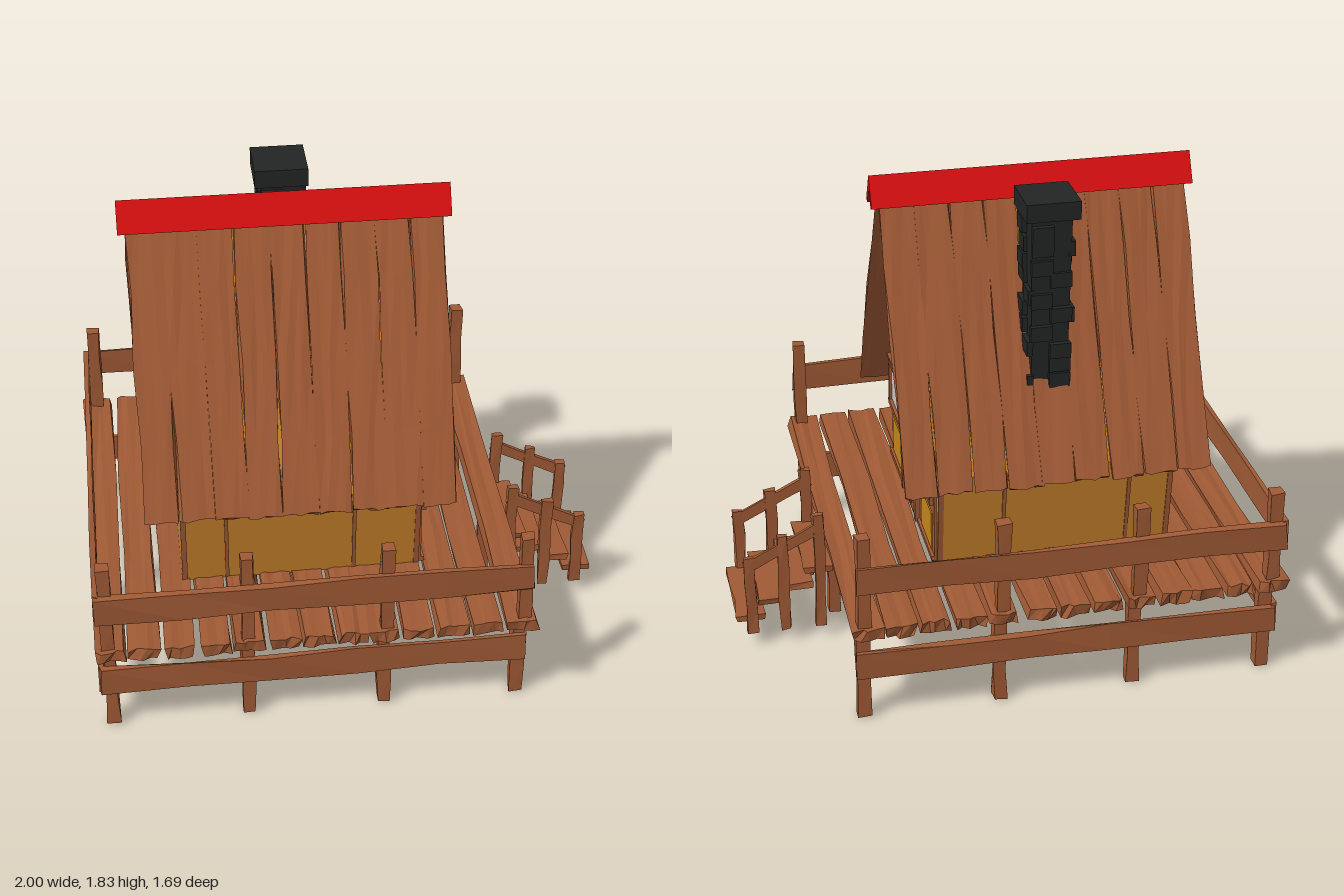
import * as THREE from 'three';

const mat = (name, color, side = THREE.FrontSide) => {
  const m = new THREE.MeshStandardMaterial({ color, side, flatShading: true });
  m.name = name;
  return m;
};
const V = (x, y, z) => new THREE.Vector3(x, y, z);

// Small repeatable noise in -0.5..0.5
function noise(seed) {
  const s = Math.sin(seed * 127.1 + 11.7) * 43758.5453;
  return s - Math.floor(s) - 0.5;
}

// Nudges the corners of a geometry so that boards look hand cut
function rough(geo, seed, ax, ay, az) {
  const p = geo.attributes.position;
  for (let i = 0; i < p.count; i++) {
    const x = p.getX(i), y = p.getY(i), z = p.getZ(i);
    const key = seed + x * 31.3 + y * 17.9 + z * 57.1;
    p.setXYZ(i, x + ax * noise(key), y + ay * noise(key + 3.1), z + az * noise(key + 7.7));
  }
  const flat = geo.toNonIndexed();
  flat.computeVertexNormals();
  return flat;
}

export function createModel() {
  const wood = mat('brown wood', 0xa05a35);
  const wall = mat('ochre wall', 0xc9822b);
  const panel = mat('yellow panel', 0xc8861c);
  const glass = mat('pale glass', 0xcacaca);
  const red = mat('red ridge', 0xd80f10);
  const stone = mat('charcoal stone', 0x232424);

  const root = new THREE.Group();
  root.name = 'cabin';
  const group = (name, parent = root) => {
    const g = new THREE.Group();
    g.name = name;
    parent.add(g);
    return g;
  };
  const add = (parent, name, geo, material) => {
    const m = new THREE.Mesh(geo, material);
    m.name = name;
    parent.add(m);
    return m;
  };
  const box = (parent, name, m, w, h, d, x, y, z) => {
    const b = add(parent, name, new THREE.BoxGeometry(w, h, d), m);
    b.position.set(x, y, z);
    return b;
  };
  let seed = 1;
  // Board from a to b: w wide, t thick along the given normal
  const board = (parent, name, a, b, w, t, normal, jag = 0.008, segs = [1, 3]) => {
    const len = a.distanceTo(b);
    const geo = rough(new THREE.BoxGeometry(w, len, t, segs[0], segs[1], 1), seed++ * 1.37, jag, jag, jag * 0.4);
    const Y = b.clone().sub(a).normalize();
    const X = Y.clone().cross(normal).normalize();
    const Z = X.clone().cross(Y);
    const m = add(parent, name, geo, wood);
    m.quaternion.setFromRotationMatrix(new THREE.Matrix4().makeBasis(X, Y, Z));
    m.position.copy(a).add(b).multiplyScalar(0.5);
    return m;
  };
  const AX = V(1, 0, 0), AY = V(0, 1, 0), AZ = V(0, 0, 1);

  // Deck boards
  const deck = group('deck');
  for (let i = 0; i < 13; i++) {
    const x = -0.937 + i * 0.1265, s = noise(i + 40) * 0.02;
    board(deck, 'deckBoard', V(x + s, 0.405, -0.84), V(x - s, 0.405, 0.83), 0.108, 0.045, AY, 0.022, [4, 3]);
  }

  // Posts below and above the deck
  const posts = group('posts');
  for (const x of [-0.94, -0.43, 0.08, 0.59]) {
    for (const z of [-0.74, -0.02, 0.71])
      board(posts, 'deckLeg', V(x, 0, z), V(x, 0.39, z), 0.048, 0.048, AZ, 0.01);
    for (const z of [-0.8, 0.79])
      board(posts, 'railPost', V(x, 0.385, z), V(x, 0.79, z), 0.048, 0.048, AZ);
  }
  for (const x of [-0.94, 0.59]) for (const s of [-1, 1])
    board(posts, 'brace', V(x, 0.25, s * 0.71), V(x, 0.385, s * 0.54), 0.03, 0.025, AX, 0.003);

  // Rails on the front, the back and the far end
  const rails = group('rails');
  for (const [y, zf, zb] of [[0.62, 0.82, -0.83], [0.225, 0.742, -0.772]]) {
    for (const z of [zf, zb])
      board(rails, 'longRail', V(-0.98, y - 0.005, z), V(0.615, y + 0.005, z), 0.11, 0.02, AZ, 0.016, [1, 5]);
    board(rails, 'endRail', V(-0.975, y, zb), V(-0.975, y, zf), 0.115, 0.02, AX, 0.012, [1, 5]);
  }

  // Stairs
  const stairs = group('stairs');
  [[0.67, 0.3], [0.75, 0.235], [0.85, 0.18], [0.938, 0.12]].forEach(([x, y]) =>
    board(stairs, 'tread', V(x, y, -0.2), V(x, y, 0.16), 0.11, 0.025, AY, 0.012));
  for (const z of [-0.2, 0.16]) {
    for (const [x, top] of [[0.665, 0.545], [0.805, 0.47], [0.935, 0.39]])
      board(stairs, 'stairPost', V(x, 0.055, z), V(x, top, z), 0.042, 0.024, AZ, 0.01);
    board(stairs, 'handrail', V(0.65, 0.495, z), V(0.95, 0.345, z), 0.045, 0.016, AZ, 0.006);
  }

  // House body: five-sided section swept along x
  const house = group('house');
  const section = new THREE.Shape([[-0.435, 0.42], [0.435, 0.42], [0.48, 0.8], [0, 1.755], [-0.48, 0.8]]
    .map(([x, y]) => new THREE.Vector2(x, y)));
  const bodyGeo = new THREE.ExtrudeGeometry(section, { depth: 0.9, bevelEnabled: false });
  bodyGeo.rotateY(Math.PI / 2).translate(-0.65, 0, 0);
  add(house, 'walls', bodyGeo, wall);
  for (const s of [-1, 1]) {
    for (const x of [-0.48, 0])
      board(house, 'wallSeam', V(x, 0.42, s * 0.435), V(x, 0.79, s * 0.48), 0.014, 0.008, V(0, 0, s), 0);
    for (const x of [-0.64, 0.24])
      board(house, 'cornerPost', V(x, 0.42, s * 0.433), V(x, 0.8, s * 0.478), 0.02, 0.012, V(0, 0, s), 0);
  }

  // Parts shared by both gables; local +z points out of the wall
  const ring = new THREE.Shape().absarc(0, 0, 0.17, 0, Math.PI * 2);
  ring.holes.push(new THREE.Path().absarc(0, 0, 0.118, 0, Math.PI * 2, true));
  const ringGeo = new THREE.ExtrudeGeometry(ring, { depth: 0.035, bevelEnabled: false, curveSegments: 10 });
  const gable = (name, x, turn) => {
    const g = group(name, house);
    g.position.x = x;
    g.rotation.y = turn;
    add(g, 'roundWindowFrame', ringGeo, wood).position.y = 1.215;
    add(g, 'roundWindowGlass', new THREE.CircleGeometry(0.125, 20), glass).position.set(0, 1.215, 0.01);
    board(g, 'gableBeam', V(0, 1.37, 0.015), V(0, 1.75, 0.015), 0.03, 0.04, AZ, 0.002);
    for (const s of [-1, 1])
      board(g, 'slantBeam', V(s * 0.105, 1.32, 0.025), V(s * 0.2, 1.385, 0.025), 0.038, 0.06, AZ, 0.003);
    return g;
  };

  // Entrance gable
  const front = gable('entranceGable', 0.25, Math.PI / 2);
  box(front, 'frameBacking', wood, 0.87, 0.45, 0.01, 0, 0.655, 0.005);
  box(front, 'crossBeam', wood, 0.88, 0.014, 0.03, 0, 0.876, 0.012);
  box(front, 'sill', wood, 0.87, 0.018, 0.022, 0, 0.44, 0.011);
  for (const s of [-1, 1]) {
    box(front, 'windowGlass', glass, 0.226, 0.16, 0.006, s * 0.293, 0.77, 0.012);
    box(front, 'lowerPanel', panel, 0.2, 0.158, 0.006, s * 0.3, 0.538, 0.012);
    box(front, 'windowSill', wood, 0.27, 0.02, 0.03, s * 0.293, 0.676, 0.012);
    box(front, 'windowHead', wood, 0.27, 0.014, 0.026, s * 0.293, 0.857, 0.012);
    for (const x of [0.172, 0.418])
      box(front, 'windowJamb', wood, 0.018, 0.2, 0.026, s * x, 0.765, 0.012);
    box(front, 'doorJamb', wood, 0.03, 0.44, 0.03, s * 0.133, 0.655, 0.014);
  }
  box(front, 'doorLintel', wood, 0.29, 0.025, 0.03, 0, 0.862, 0.014);
  box(front, 'door', wood, 0.225, 0.4, 0.01, 0, 0.645, 0.014);
  for (const [y, h] of [[0.765, 0.155], [0.53, 0.17]]) {
    box(front, 'doorPanel', wood, 0.18, h, 0.008, 0, y, 0.021);
    box(front, 'doorPanelInset', wood, 0.13, h - 0.05, 0.008, 0, y, 0.026);
  }
  const knob = add(front, 'doorKnob', new THREE.SphereGeometry(0.008, 8, 6), glass);
  knob.position.set(0.122, 0.655, 0.034);

  // Far gable with one wide window
  const far = gable('farGable', -0.65, -Math.PI / 2);
  box(far, 'wideWindowFrame', wood, 0.39, 0.31, 0.008, 0, 0.73, 0.004);
  box(far, 'wideWindowGlass', glass, 0.37, 0.29, 0.006, 0, 0.73, 0.008);

  // Roof planks on both slopes
  const roof = group('roof');
  for (const s of [-1, 1]) {
    const n = V(0, 1, 2 * s).normalize();
    for (let i = 0; i < 9; i++) {
      const x = -0.717 + i * 0.129, k = noise(i * 2.3 + s) * 0.008;
      board(roof, 'roofPlank', V(x + k, 0.752 + k, s * 0.513), V(x - k, 1.775, s * 0.004), 0.125, 0.02, n, 0.014, [4, 4]);
    }
  }

  // Ridge cap
  const cap = new THREE.Shape([[0, 1.822], [-0.058, 1.712], [-0.036, 1.704], [0, 1.772], [0.036, 1.704], [0.058, 1.712]]
    .map(([x, y]) => new THREE.Vector2(x, y)));
  const capGeo = new THREE.ExtrudeGeometry(cap, { depth: 1.215, bevelEnabled: false });
  capGeo.rotateY(Math.PI / 2).translate(-0.81, 0, 0);
  add(roof, 'ridgeCap', capGeo, red);

  // Chimney with a few proud stones
  const chimney = group('chimney');
  chimney.position.set(-0.195, 0, -0.28);
  const shaft = add(chimney, 'shaft', new THREE.CylinderGeometry(0.107, 0.094, 0.74, 4), stone);
  shaft.rotation.y = Math.PI / 4;
  shaft.position.y = 1.4;
  box(chimney, 'chimneyCap', stone, 0.2, 0.07, 0.2, 0, 1.777, 0);
  for (let row = 0; row < 10; row++) {
    const y = 1.1 + row * 0.066, r = 0.067 + row * 0.0009;
    for (let f = 0; f < 4; f++) {
      const side = group('stoneRow', chimney);
      side.rotation.y = f * Math.PI / 2;
      const off = noise(row * 5 + f) > 0 ? 0.036 : -0.036;
      box(side, 'proudStone', stone, 0.08, 0.058, 0.024, off, y + noise(row + f * 9) * 0.02, r + 0.004 + noise(row * 3 + f) * 0.01);
    }
  }

  return root;
}
